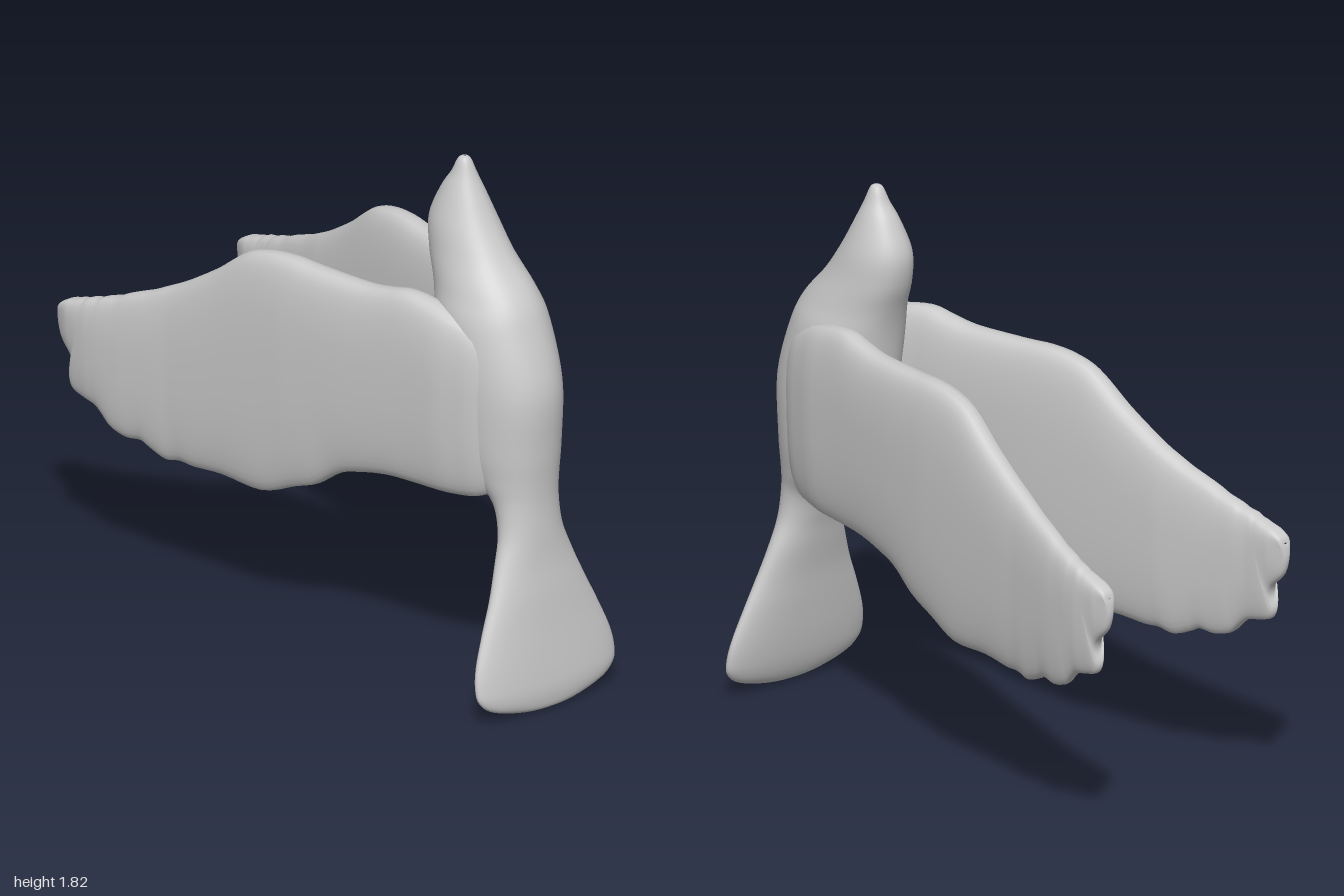
import * as THREE from 'three';

const material = new THREE.MeshStandardMaterial({ color: 0xcccccc });

// Catmull-Rom refinement of a table of cross-section parameters
function refine(rows, steps) {
  const out = [];
  const at = (i) => rows[Math.min(Math.max(i, 0), rows.length - 1)];
  for (let i = 0; i < rows.length - 1; i++) {
    for (let s = 0; s < steps; s++) {
      const t = s / steps;
      out.push(rows[i].map((p1, k) => {
        const p0 = at(i - 1)[k], p2 = at(i + 1)[k], p3 = at(i + 2)[k];
        return p1 + 0.5 * t * (p2 - p0 + t * (2 * p0 - 5 * p1 + 4 * p2 - p3 + t * (3 * (p1 - p2) + p3 - p0)));
      }));
    }
  }
  out.push(rows[rows.length - 1]);
  return out;
}

// Smooth closed skin through rings; ringPoint(row, angle) gives [x, y, z]
function loft(name, rows, sides, ringPoint) {
  const positions = [], index = [];
  rows.forEach((row, i) => {
    for (let j = 0; j < sides; j++) {
      positions.push(...ringPoint(row, (j / sides) * Math.PI * 2));
      if (i === rows.length - 1) continue;
      const a = i * sides + j, b = i * sides + (j + 1) % sides;
      index.push(a, b, a + sides, b, b + sides, a + sides);
    }
  });
  const geometry = new THREE.BufferGeometry();
  geometry.setAttribute('position', new THREE.Float32BufferAttribute(positions, 3));
  geometry.setIndex(index);
  geometry.computeVertexNormals();
  const mesh = new THREE.Mesh(geometry, material);
  mesh.name = name;
  return mesh;
}

// Linear lookup in [x, value] pairs sorted by descending x
function lookup(table, x) {
  if (x >= table[0][0]) return table[0][1];
  for (let i = 1; i < table.length; i++) {
    const [x0, v0] = table[i - 1], [x1, v1] = table[i];
    if (x >= x1) return v0 + (v1 - v0) * (x0 - x) / (x0 - x1);
  }
  return table[table.length - 1][1];
}

const power = (v, e) => Math.sign(v) * Math.abs(v) ** e;

// Beak, head and trunk: y, belly x, back x, half width
const BODY = [
  [1.82, 0.553, 0.557, 0.002], [1.81, 0.53, 0.573, 0.02], [1.76, 0.505, 0.595, 0.04],
  [1.7, 0.465, 0.625, 0.066], [1.6, 0.422, 0.68, 0.1], [1.5, 0.43, 0.75, 0.12],
  [1.4, 0.465, 0.84, 0.145], [1.3, 0.49, 0.89, 0.17], [1.1, 0.52, 0.953, 0.175],
  [0.9, 0.57, 0.95, 0.165], [0.78, 0.67, 0.942, 0.14], [0.7, 0.765, 0.94, 0.12],
];

// Tail fan, continuing the trunk
const TAIL = [
  [0.6, 0.805, 0.945, 0.125], [0.5, 0.828, 0.952, 0.16], [0.4, 0.85, 0.965, 0.2],
  [0.3, 0.866, 0.976, 0.245], [0.2, 0.883, 0.988, 0.285], [0.13, 0.897, 0.996, 0.298],
  [0.08, 0.91, 1.0, 0.288], [0.04, 0.925, 0.998, 0.235], [0.01, 0.943, 0.99, 0.12],
  [0.0, 0.965, 0.97, 0.01],
];

// Wing chords from root to tip: leading x, y, trailing x, y
const WING = [
  [0.91, 1.14, 0.91, 0.86], [0.85, 1.24, 0.85, 0.77], [0.77, 1.3, 0.77, 0.715],
  [0.65, 1.345, 0.65, 0.7], [0.5, 1.372, 0.5, 0.698], [0.4, 1.356, 0.4, 0.692],
  [0.3, 1.343, 0.3, 0.672], [0.1, 1.345, 0.2, 0.64],
  [0, 1.35, 0.1, 0.572], [-0.1, 1.342, 0, 0.533], [-0.2, 1.31, -0.13, 0.483],
  [-0.32, 1.22, -0.3, 0.49], [-0.42, 1.155, -0.42, 0.482], [-0.48, 1.12, -0.48, 0.485],
  [-0.54, 1.09, -0.54, 0.475], [-0.59, 1.065, -0.6, 0.497], [-0.64, 1.045, -0.64, 0.515],
  [-0.69, 1.025, -0.7, 0.51], [-0.73, 1.005, -0.76, 0.527], [-0.76, 0.995, -0.8, 0.565],
  [-0.79, 0.985, -0.83, 0.588], [-0.81, 0.975, -0.88, 0.6], [-0.83, 0.97, -0.928, 0.615],
  [-0.85, 0.965, -0.942, 0.648], [-0.87, 0.955, -0.925, 0.69], [-0.89, 0.95, -0.935, 0.73],
  [-0.92, 0.94, -0.982, 0.778], [-0.95, 0.93, -1, 0.83], [-0.98, 0.912, -0.997, 0.87],
  [-0.99, 0.892, -0.991, 0.888],
];
const WING_MIDDLE = [[0.91, 0.045], [0.85, 0.08], [0.77, 0.115], [0.65, 0.15], [0.5, 0.178],
  [0.2, 0.222], [0, 0.25], [-0.3, 0.288], [-0.5, 0.315], [-0.7, 0.355], [-0.85, 0.38], [-1, 0.39]];
const WING_HALF_THICKNESS = [[0.91, 0.05], [0.85, 0.068], [0.77, 0.08], [0.65, 0.082], [0.5, 0.075],
  [0.2, 0.08], [0, 0.08], [-0.5, 0.066], [-0.8, 0.054], [-0.94, 0.042], [-1, 0.022]];

function createWing(name, side) {
  return loft(name, refine(WING, 4), 40, ([lx, ly, tx, ty], a) => {
    const chord = (1 + power(Math.cos(a), 0.85)) / 2;
    const x = tx + (lx - tx) * chord, y = ty + (ly - ty) * chord;
    // Rounded section, a little thinner towards the trailing feathers
    const length = Math.hypot(lx - tx, ly - ty);
    const half = Math.min(lookup(WING_HALF_THICKNESS, x), length * 0.5 + 0.003) * (0.78 + 0.22 * chord);
    return [x, y, side * lookup(WING_MIDDLE, x) - half * power(Math.sin(a), 0.65)];
  });
}

export function createModel() {
  const bird = new THREE.Group();
  bird.name = 'bird';

  // Head, trunk and tail share one continuous skin
  bird.add(loft('bodyAndTail', refine([...BODY, ...TAIL], 5), 40, ([y, x0, x1, w], a) => [
    (x0 + x1) / 2 + (x1 - x0) / 2 * Math.cos(a), y, w * power(Math.sin(a), 0.9),
  ]));

  // Mirrored wings whose roots flow into the flanks
  bird.add(createWing('leftSideWing', 1), createWing('rightSideWing', -1));
  return bird;
}
